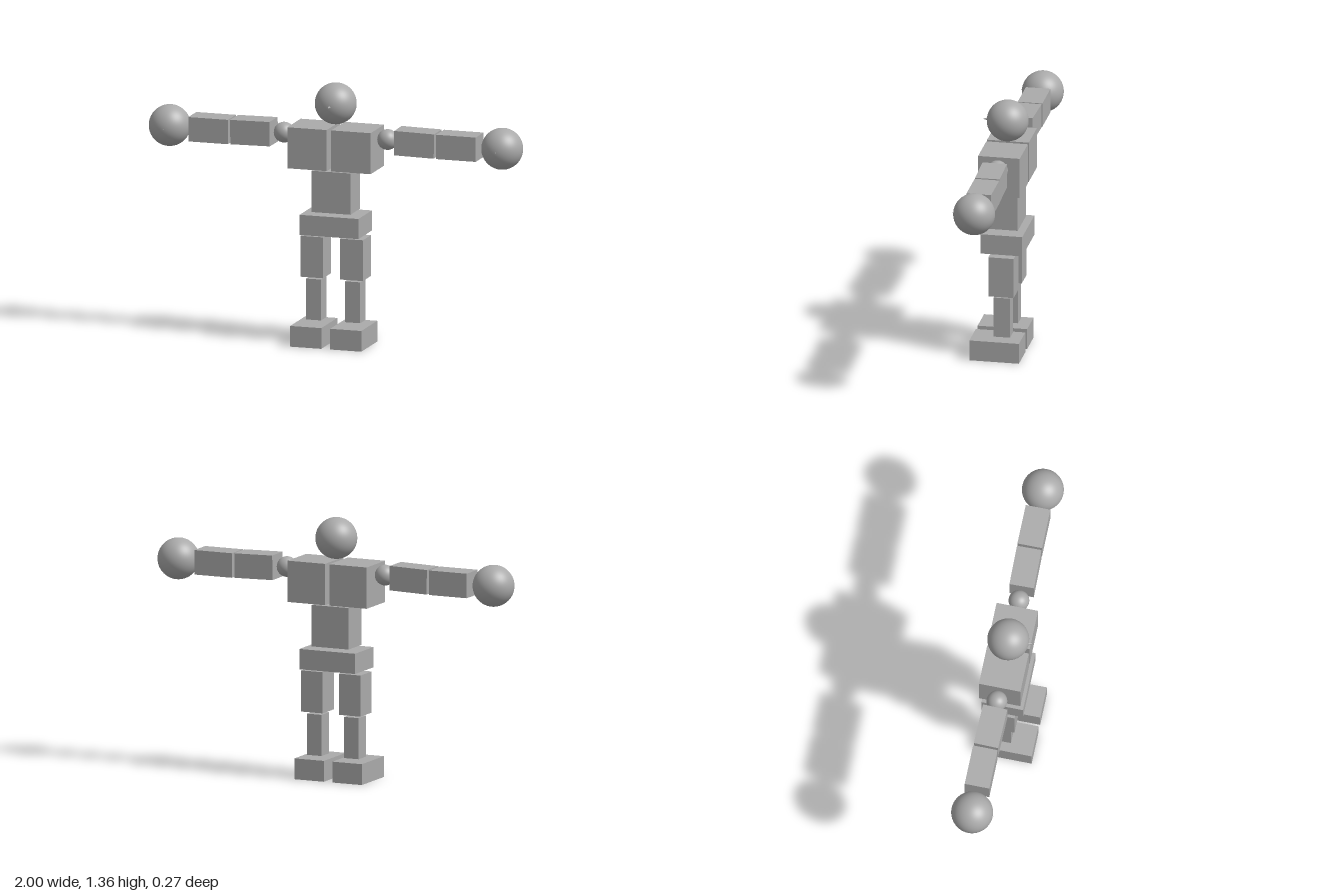
import * as THREE from 'three';

export function createModel() {
  const model = new THREE.Group();
  model.name = 'blockFigure';
  const grey = new THREE.MeshStandardMaterial({ color: 0xaaaaaa });
  grey.name = 'plain grey';

  const add = (name, geometry, x, y, z) => {
    const mesh = new THREE.Mesh(geometry, grey);
    mesh.name = name;
    mesh.position.set(x, y, z);
    model.add(mesh);
    return mesh;
  };
  // Box given by its extents along each axis
  const block = (name, [x0, x1], [y0, y1], [z0, z1]) =>
    add(name, new THREE.BoxGeometry(x1 - x0, y1 - y0, z1 - z0),
      (x0 + x1) / 2, (y0 + y1) / 2, (z0 + z1) / 2);
  const ball = (name, r, x, y, z) =>
    add(name, new THREE.SphereGeometry(r, 48, 32), x, y, z);
  // Small cone pointing forward, with its tip at the given place
  const spike = (name, x, y, tipZ) => {
    const geometry = new THREE.ConeGeometry(0.014, 0.045, 24).rotateX(Math.PI / 2);
    return add(name, geometry, x, y, tipZ - 0.0225);
  };

  // Head and nose
  ball('head', 0.107, 0, 1.249, -0.025);
  spike('nose', 0, 1.249, 0.103);

  // Torso
  block('waist', [-0.105, 0.105], [0.691, 0.906], [-0.098, 0.053]);
  block('hips', [-0.158, 0.158], [0.574, 0.679], [-0.132, 0.084]);

  // Mirrored parts; the model's left is +x
  for (const [side, s] of [['left', 1], ['right', -1]]) {
    const pair = (name, x0, x1, y, z) =>
      block(side + name, s > 0 ? [x0, x1] : [-x1, -x0], y, z);

    pair('Chest', 0.012, 0.224, [0.917, 1.131], [-0.132, 0.084]);

    // Arm
    ball(side + 'Shoulder', 0.053, s * 0.278, 1.079, -0.027);
    const upperArm = pair('UpperArm', 0.333, 0.546, [1.012, 1.139], [-0.09, 0.037]);
    upperArm.rotation.set(0, s * 0.02, s * -0.02);
    pair('Forearm', 0.559, 0.772, [1.009, 1.136], [-0.093, 0.035]);
    ball(side + 'Hand', 0.107, s * 0.893, 1.073, -0.029);
    spike(side + 'HandPoint', s * 0.893, 1.073, 0.085);

    // Leg
    pair('Thigh', 0.046, 0.168, [0.347, 0.56], [-0.089, 0.042]);
    pair('Shin', 0.064, 0.146, [0.121, 0.334], [-0.066, 0.019]);
    pair('Foot', 0.024, 0.191, [0, 0.108], [-0.121, 0.136]);
  }
  return model;
}
